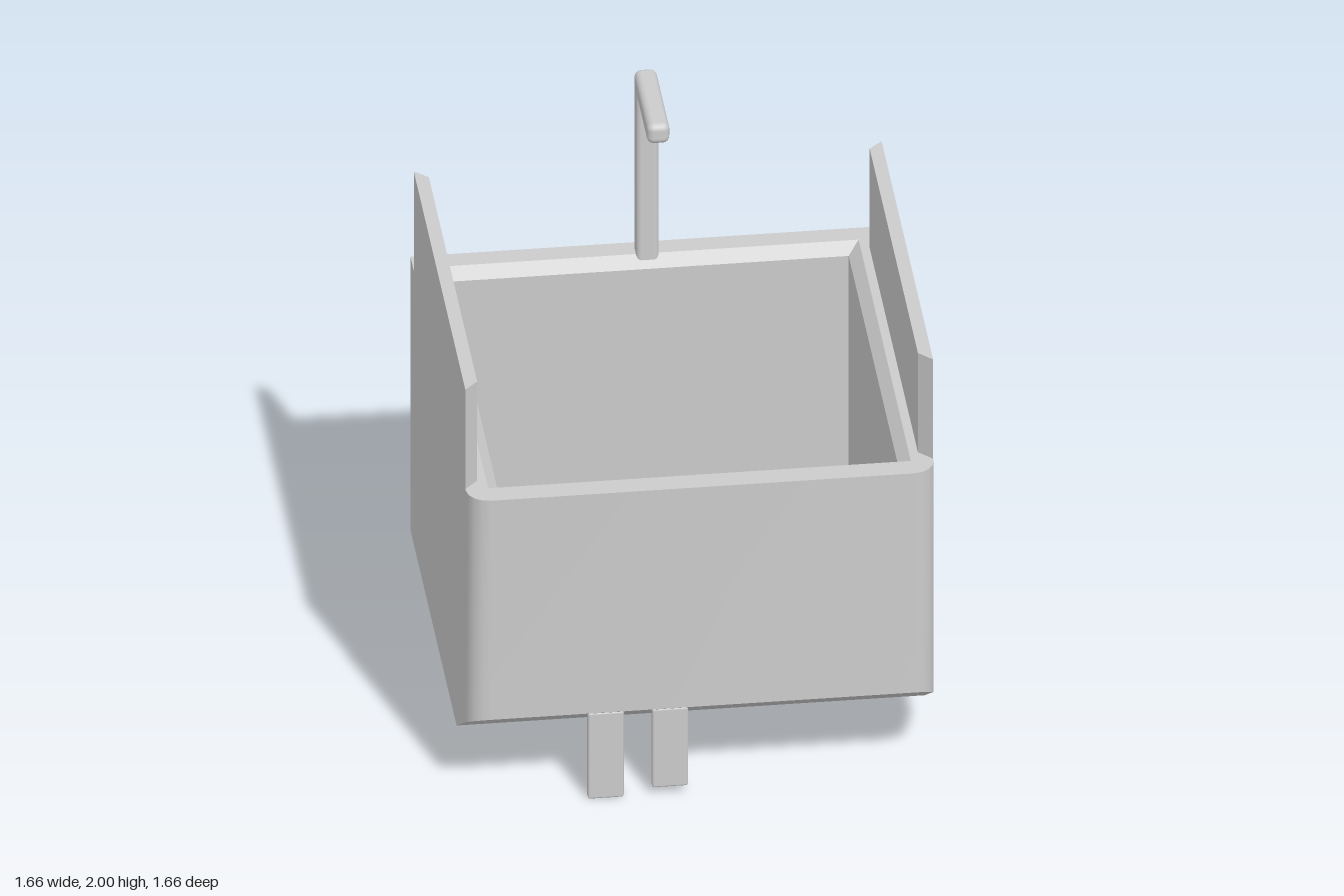
import * as THREE from 'three';
import { toCreasedNormals } from 'three/addons/utils/BufferGeometryUtils.js';
import { RoundedBoxGeometry } from 'three/addons/geometries/RoundedBoxGeometry.js';

const material = new THREE.MeshStandardMaterial({ color: 0xcccccc });

function addMesh(parent, name, geometry, x = 0, y = 0, z = 0) {
  const mesh = new THREE.Mesh(geometry, material);
  mesh.name = name;
  mesh.position.set(x, y, z);
  parent.add(mesh);
}

// Lofts matching loops of points into a skin, then fans any flat cap polygons
function skin(loops, caps) {
  const verts = [];
  const tri = (a, b, c) => {
    if (new THREE.Triangle(a, b, c).getArea() > 1e-7) {
      for (const p of [a, b, c]) verts.push(p.x, p.y, p.z);
    }
  };
  for (let k = 0; k + 1 < loops.length; k++) {
    const low = loops[k], high = loops[k + 1], n = low.length;
    for (let i = 0; i < n; i++) {
      const j = (i + 1) % n;
      tri(low[i], low[j], high[j]);
      tri(low[i], high[j], high[i]);
    }
  }
  for (const cap of caps) {
    for (let i = 1; i + 1 < cap.length; i++) tri(cap[0], cap[i], cap[i + 1]);
  }
  const geometry = new THREE.BufferGeometry();
  geometry.setAttribute('position', new THREE.Float32BufferAttribute(verts, 3));
  geometry.computeVertexNormals();
  return toCreasedNormals(geometry, 0.45);
}

function basinGeometry() {
  const W = 0.83, back = -0.835, front = 0.83, slopeZ = 0.49, r = 0.08, steps = 4;
  const bottom = 0.14, top = 1.27, floor = 0.3;

  // Plan outline: square at the back, rounded at the front
  const plan = [[W, slopeZ], [W, back], [-W, back], [-W, slopeZ]];
  for (const side of [-1, 1]) {
    for (let i = 0; i <= steps; i++) {
      const t = (side < 0 ? i : steps - i) / steps * Math.PI / 2;
      plan.push([side * (W - r + r * Math.cos(t)), front - r + r * Math.sin(t)]);
    }
  }
  const clamp = THREE.MathUtils.clamp;
  const inset = (x, zBack, zFront, y) =>
    plan.map(p => new THREE.Vector3(clamp(p[0], -x, x), y, clamp(p[1], zBack, zFront)));

  // The underside rises toward the front
  const base = plan.map(([x, z]) =>
    new THREE.Vector3(x, bottom + Math.max(0, z - slopeZ) * 0.66, z));
  const rim = plan.map(([x, z]) => new THREE.Vector3(x, top, z));
  const well = inset(0.71, -0.715, 0.705, floor);
  const loops = [base, rim, inset(0.75, -0.755, 0.745, top),
    inset(0.71, -0.715, 0.705, top - 0.04), well];
  return skin(loops, [
    well,
    base.slice(0, 4).reverse(),
    [...base.slice(3), base[0]].reverse(),
  ]);
}

// Upright panel with its ends bevelled toward the inside
function panelGeometry(side) {
  const plan = [[0.83, 0.74], [0.83, -0.74], [0.782, -0.695], [0.782, 0.69]];
  if (side < 0) plan.reverse();
  const at = y => plan.map(([x, z]) => new THREE.Vector3(side * x, y, z));
  return skin([at(1.27), at(1.68)], [at(1.68)]);
}

export function createModel() {
  const model = new THREE.Group();
  model.name = 'sink';

  addMesh(model, 'basin', basinGeometry());
  addMesh(model, 'leftSidePanel', panelGeometry(1));
  addMesh(model, 'rightSidePanel', panelGeometry(-1));

  // Tap at the back rim
  const tap = new THREE.Group();
  tap.name = 'tap';
  addMesh(tap, 'tapPost', new RoundedBoxGeometry(0.08, 0.73, 0.08, 3, 0.018), 0, 1.6, -0.778);
  addMesh(tap, 'tapSpout', new RoundedBoxGeometry(0.08, 0.08, 0.4, 3, 0.025), 0, 1.96, -0.62);
  model.add(tap);

  // Two tabs hanging below the front edge: [x, lower end]
  for (const [x, y] of [[-0.34, 0], [-0.112, 0.03]]) {
    const height = 0.355 - y;
    addMesh(model, 'hangingTab', new RoundedBoxGeometry(0.128, height, 0.036, 2, 0.008),
      x, y + height / 2, 0.797);
  }
  return model;
}
